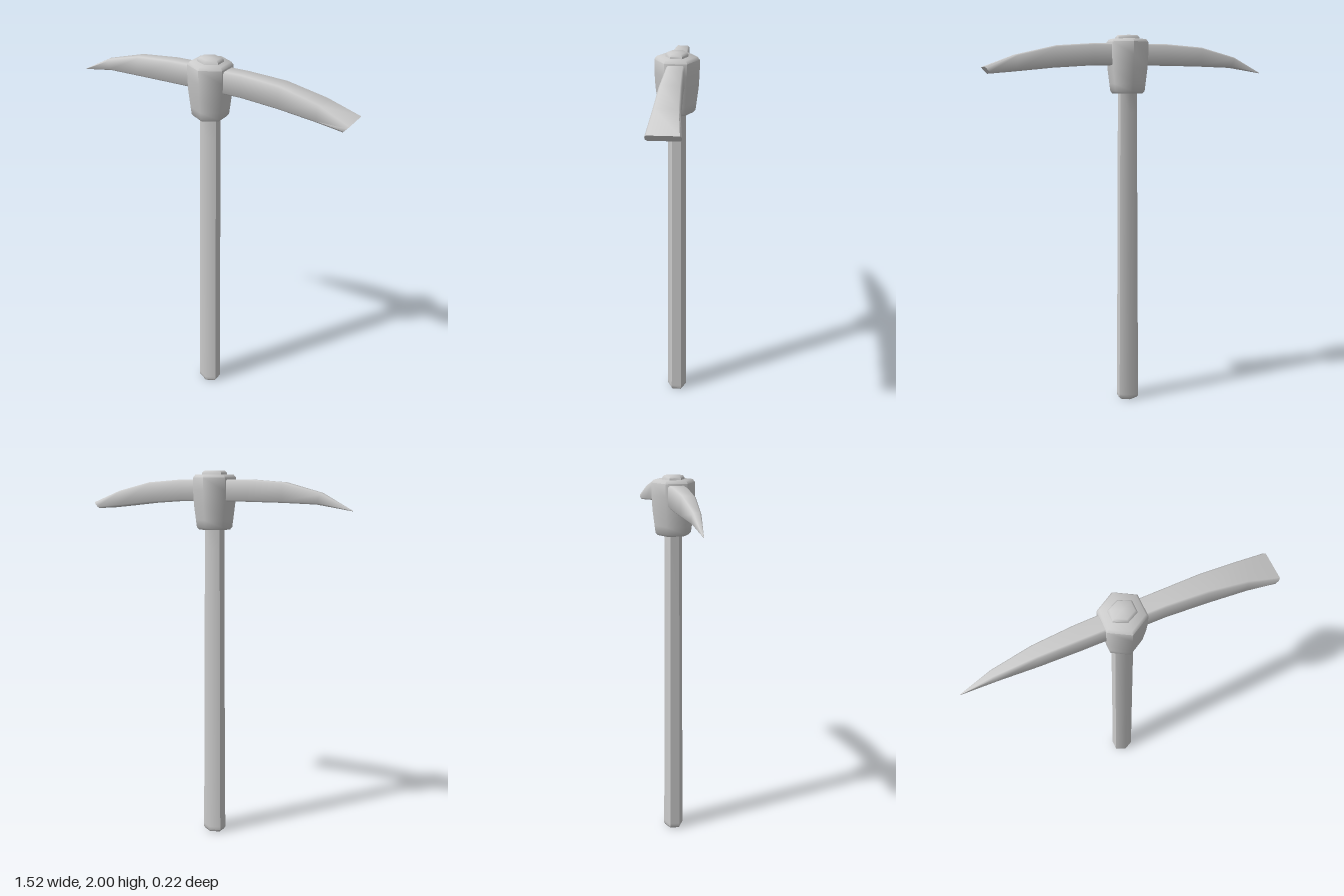
import * as THREE from 'three';
import { toCreasedNormals } from 'three/addons/utils/BufferGeometryUtils.js';

const CENTER_X = 0.01;

export function createModel() {
  const group = new THREE.Group();
  const material = new THREE.MeshStandardMaterial({ color: 0xcccccc });

  function add(name, geometry, crease) {
    const mesh = new THREE.Mesh(toCreasedNormals(geometry, crease), material);
    mesh.name = name;
    group.add(mesh);
    return mesh;
  }

  // Six-sided turned part with corners towards +z and -z; profile is [radius, y], bottom to top
  function hexPart(name, profile, scaleX = 1) {
    const points = profile.map(([r, y]) => new THREE.Vector2(r, y));
    const geometry = new THREE.LatheGeometry(points, 6);
    geometry.scale(scaleX, 1, 1);
    add(name, geometry, 1.1).position.x = CENTER_X;
  }

  // Handle, flaring towards the grip end
  hexPart('handle', [
    [0, 0], [0.048, 0], [0.055, 0.012], [0.055, 0.03], [0.053, 0.25],
    [0.05, 0.8], [0.046, 1.6], [0.046, 1.75], [0, 1.75],
  ], 1.16);

  // Collar that holds the blade
  hexPart('collar', [
    [0, 1.7], [0.082, 1.7], [0.093, 1.712], [0.098, 1.75], [0.108, 1.83],
    [0.112, 1.9], [0.112, 1.965], [0.1, 1.98], [0, 1.98],
  ]);

  // Handle end showing above the collar
  hexPart('handleTop', [[0, 1.95], [0.057, 1.95], [0.057, 1.99], [0.048, 2], [0, 2]], 1.17);

  // Blade sections: x at top, x at bottom, top y, bottom y, half width
  const sections = [
    [-0.76, -0.76, 1.811, 1.808, 0.001],
    [-0.6, -0.58, 1.892, 1.837, 0.022],
    [-0.4, -0.4, 1.942, 1.843, 0.035],
    [-0.2, -0.2, 1.956, 1.846, 0.042],
    [0, 0, 1.957, 1.846, 0.044],
    [0.2, 0.2, 1.956, 1.845, 0.045],
    [0.4, 0.4, 1.942, 1.832, 0.052],
    [0.6, 0.6, 1.896, 1.812, 0.061],
    [0.765, 0.735, 1.833, 1.8, 0.078],
  ];
  const positions = [];
  const indices = [];
  const sides = 8;
  for (const [xTop, xBottom, top, bottom, w] of sections) {
    // Rectangle with chamfered corners, running round from the upper +z corner
    const b = Math.min(0.008, w * 0.35, (top - bottom) * 0.25);
    const loop = [
      [top, w - b], [top - b, w], [bottom + b, w], [bottom, w - b],
      [bottom, b - w], [bottom + b, -w], [top - b, -w], [top, b - w],
    ];
    for (const [y, z] of loop) {
      const t = (y - bottom) / (top - bottom);
      positions.push(xBottom + (xTop - xBottom) * t, y, z);
    }
  }
  for (let s = 0; s < sections.length - 1; s++) {
    for (let i = 0; i < sides; i++) {
      const a = s * sides + i;
      const b = s * sides + ((i + 1) % sides);
      indices.push(a, b, a + sides, b, b + sides, a + sides);
    }
  }
  // Close both ends
  const last = (sections.length - 1) * sides;
  for (let i = 1; i < sides - 1; i++) {
    indices.push(0, i + 1, i, last, last + i, last + i + 1);
  }
  const blade = new THREE.BufferGeometry();
  blade.setAttribute('position', new THREE.Float32BufferAttribute(positions, 3));
  blade.setIndex(indices);
  add('blade', blade, 0.85);

  return group;
}
